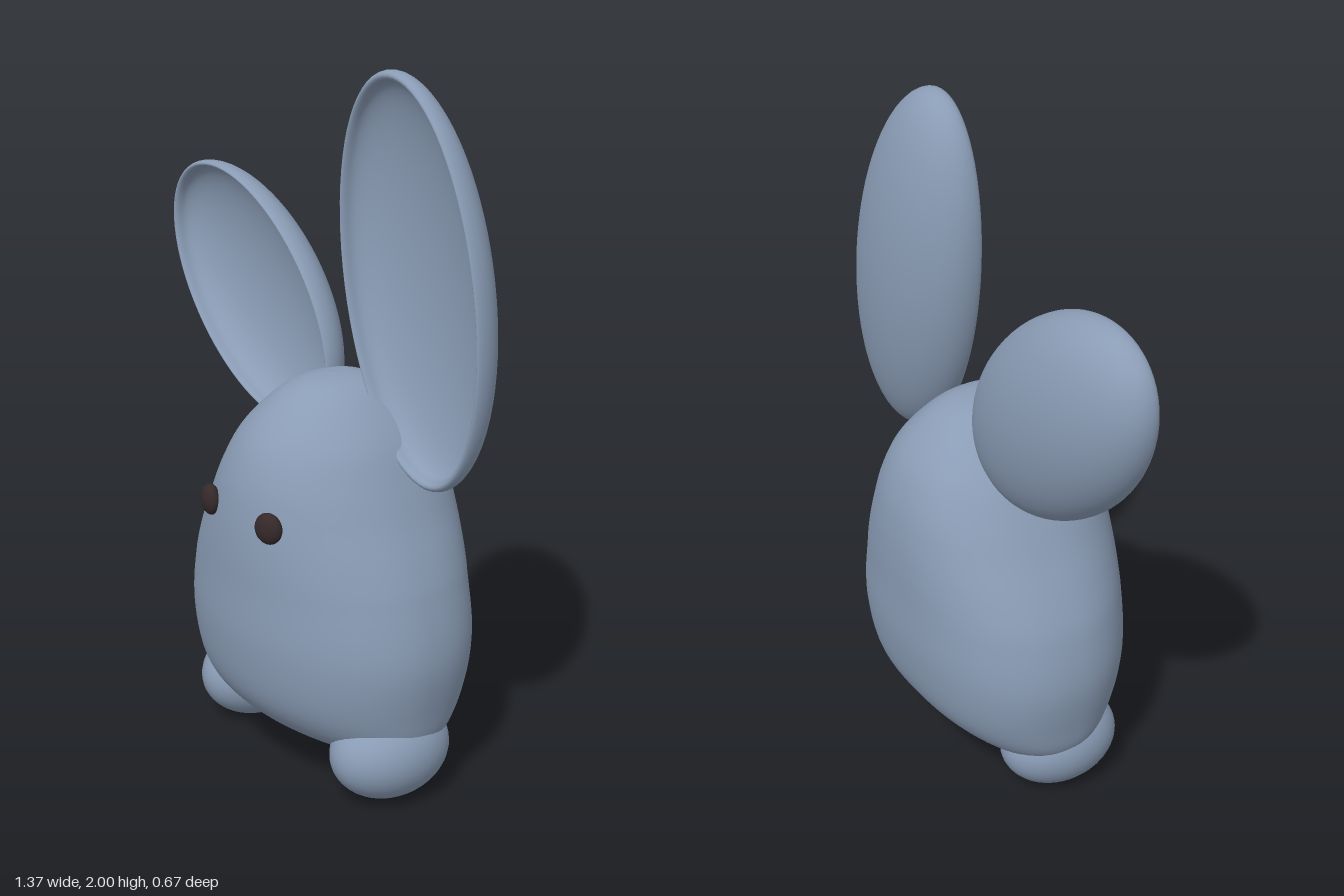
import * as THREE from 'three';

const fur = new THREE.MeshStandardMaterial({ color: 0x8a9cb5 });
fur.name = 'blueGreyFur';
const dark = new THREE.MeshStandardMaterial({ color: 0x35292a });
dark.name = 'darkEye';

function addMesh(parent, name, geometry, material) {
  const mesh = new THREE.Mesh(geometry, material);
  mesh.name = name;
  parent.add(mesh);
  return mesh;
}

// Pear-shaped body: oval rings (height, half width, half depth) smoothed by a spline
function bodyGeometry() {
  const rings = [
    [0.088, 0.001, 0.001], [0.093, 0.2, 0.05], [0.125, 0.36, 0.15], [0.18, 0.423, 0.235],
    [0.27, 0.446, 0.3], [0.43, 0.465, 0.331], [0.6, 0.433, 0.333], [0.7, 0.393, 0.333],
    [0.8, 0.343, 0.327], [0.9, 0.295, 0.31], [1.0, 0.24, 0.27], [1.08, 0.172, 0.205],
    [1.13, 0.115, 0.14], [1.152, 0.065, 0.08], [1.16, 0.001, 0.001],
  ];
  const curve = new THREE.CatmullRomCurve3(rings.map((r) => new THREE.Vector3(...r)), false, 'centripetal');
  const rows = 84, cols = 72;
  const pos = [], index = [];
  for (let i = 0; i <= rows; i++) {
    const { x: y, y: w, z: d } = curve.getPoint(i / rows);
    const cx = 0.095 + 0.035 * Math.max(0, (y - 0.6) / 0.56);
    for (let j = 0; j < cols; j++) {
      const a = (j / cols) * Math.PI * 2;
      const c = Math.cos(a), s = Math.sin(a);
      const power = s < 0 ? 0.85 : 1; // the back is a little fuller
      const x = cx + w * Math.sign(c) * Math.abs(c) ** power;
      const z = d * Math.sign(s) * Math.abs(s) ** power;
      pos.push(x, y, z);
      if (i < rows) {
        const p = i * cols + j, q = i * cols + ((j + 1) % cols);
        index.push(p, p + cols, q, q, p + cols, q + cols);
      }
    }
  }
  const g = new THREE.BufferGeometry();
  g.setAttribute('position', new THREE.Float32BufferAttribute(pos, 3));
  g.setIndex(index);
  g.computeVertexNormals();
  return g;
}

// Bowl-shaped ear: domed back, rounded rim, hollow front
function earGeometry(halfWidth, halfLength) {
  const pts = [];
  const n = 24, rim = 0.025;
  for (let i = 0; i <= n; i++) {
    const a = (i / n) * Math.PI / 2;
    pts.push(new THREE.Vector2(Math.sin(a), -0.022 - 0.158 * Math.cos(a)));
  }
  for (let i = 1; i <= 8; i++) {
    const a = (i / 8) * Math.PI;
    pts.push(new THREE.Vector2(1 - rim + rim * Math.cos(a), -0.022 + 0.022 * Math.sin(a)));
  }
  for (let i = 1; i <= n; i++) {
    const a = (i / n) * Math.PI / 2;
    pts.push(new THREE.Vector2((1 - 2 * rim) * Math.cos(a), -0.022 - 0.105 * Math.sin(a)));
  }
  return new THREE.LatheGeometry(pts, 72).rotateX(Math.PI / 2).scale(halfWidth, halfLength, 1);
}

export function createModel() {
  const model = new THREE.Group();
  model.name = 'rabbit';

  addMesh(model, 'body', bodyGeometry(), fur);

  // Ears, one upright and one drooping sideways
  const ears = [
    ['leftEar', 0.4, 1.458, 0.265, 0.552, 11.9],
    ['rightEar', -0.308, 1.288, 0.268, 0.444, 49.7],
  ];
  for (const [name, x, y, w, h, tilt] of ears) {
    const ear = addMesh(model, name, earGeometry(w, h), fur);
    ear.position.set(x, y, -0.018);
    ear.rotation.z = THREE.MathUtils.degToRad(tilt);
  }

  // Feet and eyes, mirrored about the body's middle
  for (const [side, s] of [['left', 1], ['right', -1]]) {
    const foot = addMesh(model, side + 'Foot', new THREE.SphereGeometry(1, 40, 28).scale(0.138, 0.138, 0.185), fur);
    foot.position.set(0.105 + s * 0.311, 0.14, 0.025);

    const eye = addMesh(model, side + 'Eye', new THREE.SphereGeometry(1, 28, 20).scale(0.042, 0.044, 0.026), dark);
    eye.position.set(0.104 + s * 0.135, 0.81, 0.309);
    eye.rotation.y = s * 0.3;
  }
  return model;
}
